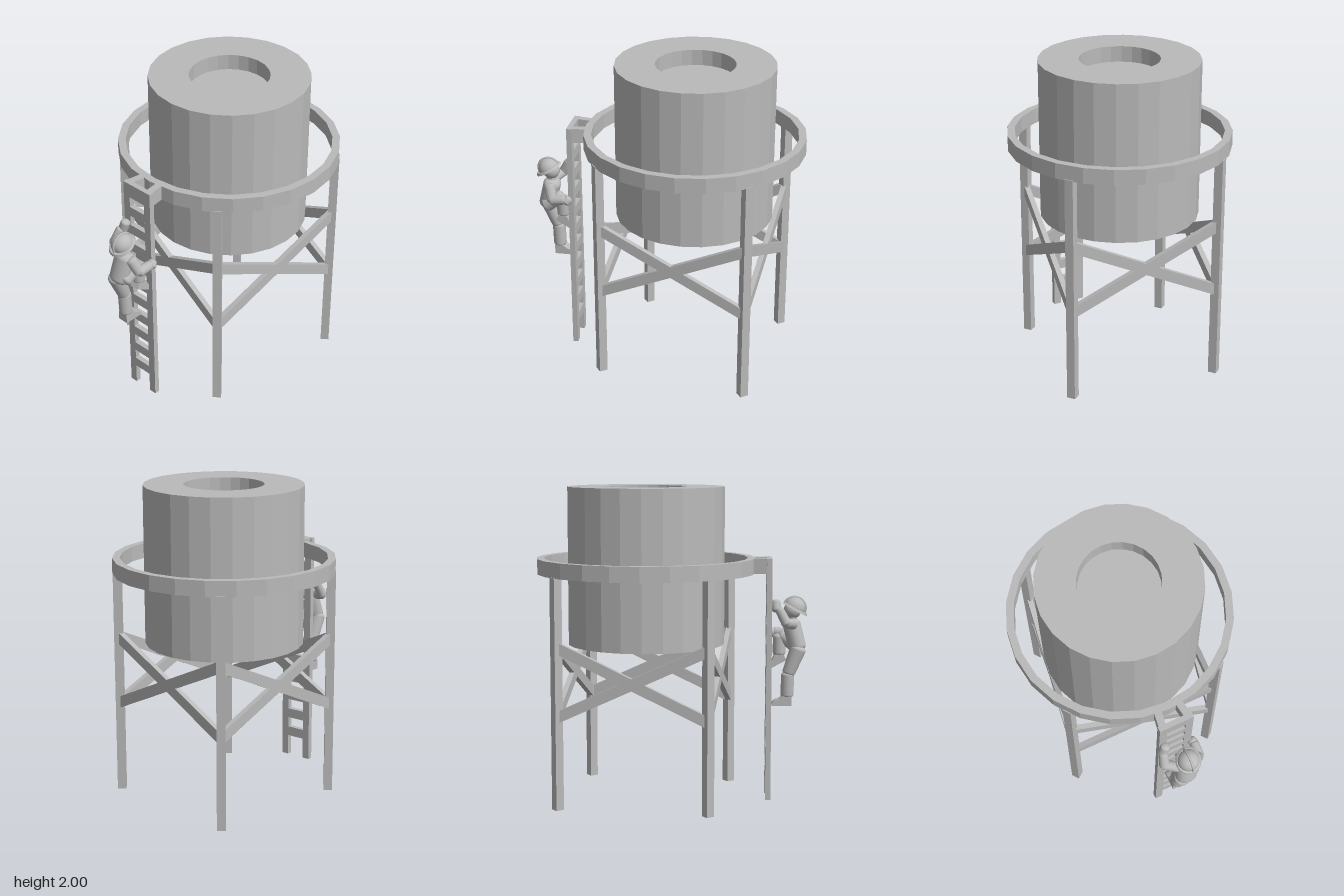
import * as THREE from 'three';

export function createModel() {
  const model = new THREE.Group();
  model.name = 'waterTower';
  const grey = new THREE.MeshStandardMaterial({ color: 0xbababa });
  grey.name = 'plain grey';
  const V = (x, y, z) => new THREE.Vector3(x, y, z);

  const add = (parent, name, geo, pos = V(0, 0, 0)) => {
    const m = new THREE.Mesh(geo, grey);
    m.name = name;
    m.position.copy(pos);
    parent.add(m);
    return m;
  };
  const facet = (geo) => {
    const g = geo.toNonIndexed();
    g.computeVertexNormals();
    return g;
  };
  const lathe = (pts, n) =>
    facet(new THREE.LatheGeometry(pts.map(([x, y]) => new THREE.Vector2(x, y)), n));
  // Rectangular bar from a to b, in the parent's own frame
  const beam = (parent, name, a, b, w, h) => {
    const m = add(parent, name, new THREE.BoxGeometry(w, h, a.distanceTo(b)), a.clone().lerp(b, 0.5));
    m.quaternion.setFromRotationMatrix(new THREE.Matrix4().lookAt(b, a, V(0, 1, 0)));
    return m;
  };
  // Rounded, tapered limb from a (radius ra) to b (radius rb)
  const limb = (parent, name, a, b, ra, rb) => {
    const len = a.distanceTo(b);
    const pts = [];
    for (let i = 0; i <= 5; i++) {
      const t = (i / 5) * Math.PI / 2;
      pts.push(new THREE.Vector2(ra * Math.sin(t), -ra * 0.6 * Math.cos(t)));
    }
    for (let i = 0; i <= 5; i++) {
      const t = (i / 5) * Math.PI / 2;
      pts.push(new THREE.Vector2(rb * Math.cos(t), len + rb * 0.6 * Math.sin(t)));
    }
    const m = add(parent, name, new THREE.LatheGeometry(pts, 16), a);
    m.quaternion.setFromUnitVectors(V(0, 1, 0), b.clone().sub(a).normalize());
    return m;
  };

  // Tower, centred behind the ladder
  const tower = new THREE.Group();
  tower.name = 'tower';
  tower.position.z = -0.17;
  model.add(tower);
  add(tower, 'tank', lathe([[0, 1], [0.5, 1], [0.5, 2], [0.25, 2], [0.25, 1.9], [0, 1.9]], 24));
  add(tower, 'ringBeam', lathe([[0.649, 1.453], [0.697, 1.453], [0.697, 1.55], [0.649, 1.55], [0.649, 1.453]], 24));

  // Four legs with crossed braces between neighbours
  const corner = (i, y) => {
    const a = Math.atan2(0.407, 0.532) + i * Math.PI / 2;
    return V(0.67 * Math.sin(a), y, 0.67 * Math.cos(a));
  };
  for (let i = 0; i < 4; i++) {
    const p = corner(i, 0.73);
    const leg = add(tower, 'leg', new THREE.BoxGeometry(0.054, 1.46, 0.054), p);
    leg.rotation.y = Math.atan2(p.x, p.z);
    beam(tower, 'brace', corner(i, 1.025), corner(i + 1, 0.585), 0.034, 0.068);
    beam(tower, 'brace', corner(i, 0.585), corner(i + 1, 1.025), 0.034, 0.068);
  }

  // Ladder with a bracket to the ring
  const ladder = new THREE.Group();
  ladder.name = 'ladder';
  ladder.position.x = -0.003;
  model.add(ladder);
  for (const s of [-1, 1]) {
    add(ladder, 'rail', new THREE.BoxGeometry(0.05, 1.55, 0.034), V(s * 0.087, 0.775, 0.615));
    beam(ladder, 'bracketArm', V(s * 0.086, 1.5025, 0.62), V(s * 0.068, 1.5025, 0.5), 0.046, 0.095);
  }
  for (let i = 0; i < 10; i++)
    add(ladder, 'rung', new THREE.BoxGeometry(0.13, 0.064, 0.034), V(0, 0.169 + i * 0.1317, 0.615));
  add(ladder, 'topPlate', new THREE.BoxGeometry(0.13, 0.095, 0.034), V(0, 1.5025, 0.615));

  // Climber facing the ladder
  const climber = new THREE.Group();
  climber.name = 'climber';
  model.add(climber);
  limb(climber, 'torso', V(0, 0.985, 0.796), V(0.014, 1.12, 0.762), 0.07, 0.07).scale.z = 0.82;
  limb(climber, 'neck', V(0.012, 1.13, 0.765), V(0.012, 1.18, 0.765), 0.032, 0.03);
  add(climber, 'head', new THREE.SphereGeometry(0.056, 18, 12), V(0.012, 1.215, 0.765));

  // Helmet, tilted back
  const helmet = new THREE.Group();
  helmet.name = 'helmet';
  helmet.position.set(0.013, 1.228, 0.778);
  helmet.rotation.x = 0.5;
  climber.add(helmet);
  add(helmet, 'dome', new THREE.SphereGeometry(0.07, 20, 8, 0, Math.PI * 2, 0, Math.PI / 2));
  const brim = add(helmet, 'brim', new THREE.CylinderGeometry(0.074, 0.082, 0.014, 24), V(0, 0, 0.006));
  brim.scale.z = 1.08;
  const crest = add(helmet, 'crest', new THREE.TorusGeometry(0.071, 0.008, 8, 20, Math.PI));
  crest.rotation.y = Math.PI / 2;

  // Arms
  limb(climber, 'rightUpperArm', V(-0.05, 1.13, 0.765), V(-0.118, 1.145, 0.725), 0.034, 0.031);
  limb(climber, 'rightForearm', V(-0.12, 1.145, 0.722), V(-0.108, 1.225, 0.68), 0.032, 0.028);
  limb(climber, 'rightHand', V(-0.1, 1.23, 0.66), V(-0.085, 1.275, 0.655), 0.031, 0.03);
  limb(climber, 'leftUpperArm', V(0.075, 1.125, 0.762), V(0.11, 1.05, 0.74), 0.036, 0.033);
  limb(climber, 'leftForearm', V(0.113, 1.05, 0.735), V(0.122, 1.06, 0.66), 0.036, 0.03);
  limb(climber, 'leftHand', V(0.123, 1.05, 0.645), V(0.115, 1.065, 0.63), 0.03, 0.028);

  // Legs: one stretched, one raised
  limb(climber, 'rightThigh', V(-0.03, 0.965, 0.8), V(-0.03, 0.82, 0.745), 0.052, 0.042);
  limb(climber, 'rightShin', V(-0.03, 0.8, 0.738), V(-0.028, 0.675, 0.734), 0.042, 0.042);
  limb(climber, 'leftThigh', V(0.04, 0.985, 0.79), V(0.048, 1.045, 0.7), 0.05, 0.042);
  limb(climber, 'leftShin', V(0.048, 1.035, 0.684), V(0.046, 0.935, 0.684), 0.041, 0.041);

  // Boots: side outline extruded across the foot
  const outline = new THREE.Shape();
  outline.moveTo(0.02, 0);
  outline.lineTo(-0.105, 0);
  outline.quadraticCurveTo(-0.11, 0.03, -0.06, 0.042);
  outline.lineTo(-0.035, 0.062);
  outline.lineTo(0.02, 0.062);
  const boot = (name, pos, tilt) => {
    const geo = new THREE.ExtrudeGeometry(outline, { depth: 0.07, bevelEnabled: false, curveSegments: 5 });
    geo.translate(0, 0, -0.035);
    geo.rotateY(-Math.PI / 2);
    add(climber, name, geo, pos).rotation.x = tilt;
  };
  boot('rightBoot', V(-0.028, 0.605, 0.742), 0);
  boot('leftBoot', V(0.046, 0.88, 0.712), -0.5);
  return model;
}
